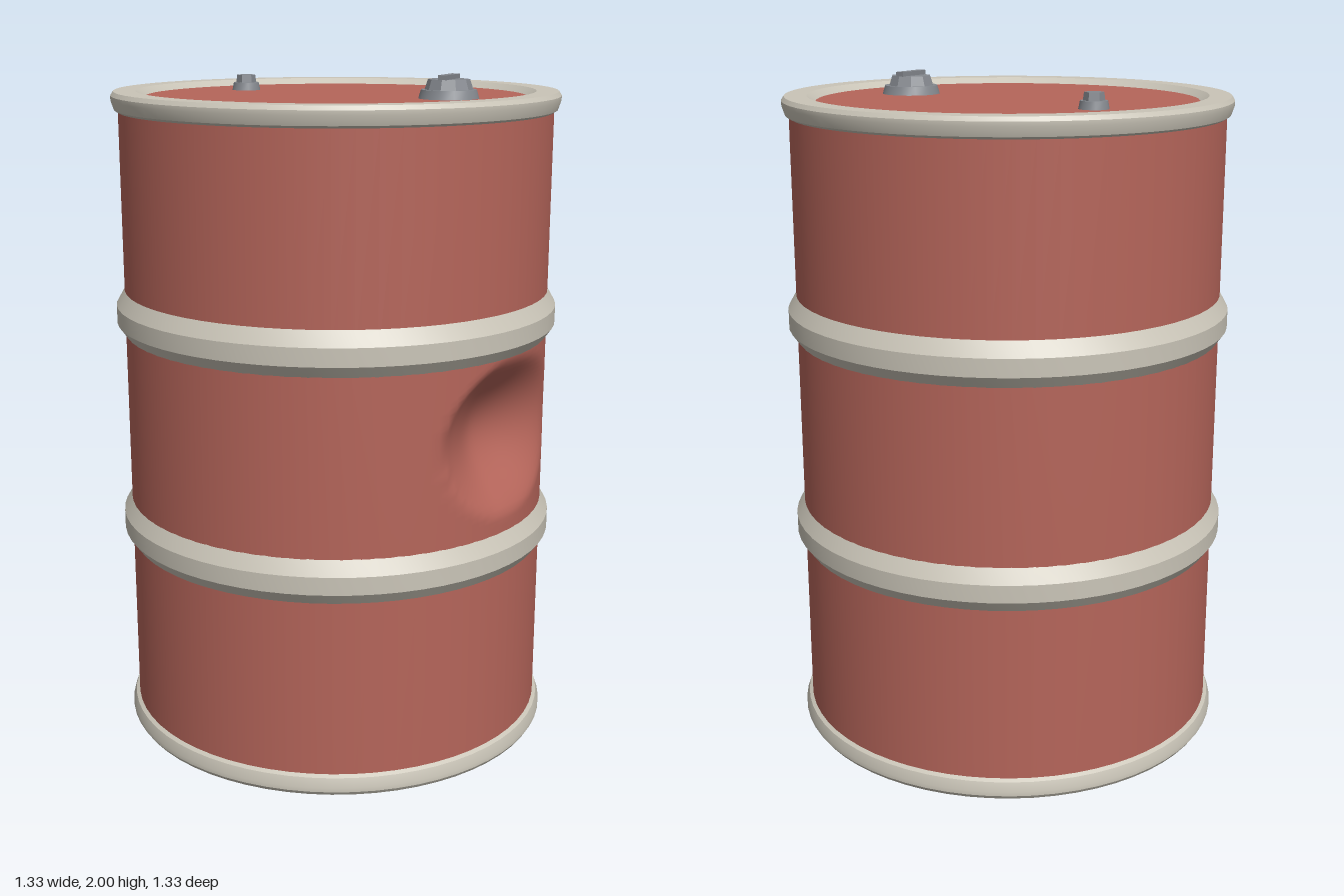
import * as THREE from 'three';
import { toCreasedNormals } from 'three/addons/utils/BufferGeometryUtils.js';

const SEG = 64;
const R = 0.64;

function material(name, color) {
  const m = new THREE.MeshStandardMaterial({ color });
  m.name = name;
  return m;
}

export function createModel() {
  const red = material('red paint', 0xb5655a);
  const cream = material('cream paint', 0xcac5b8);
  const grey = material('grey metal', 0x85898f);
  const barrel = new THREE.Group();
  barrel.name = 'barrel';

  function add(name, geometry, mat, x = 0, y = 0, z = 0, parent = barrel) {
    const mesh = new THREE.Mesh(geometry, mat);
    mesh.name = name;
    mesh.position.set(x, y, z);
    parent.add(mesh);
    return mesh;
  }

  // Turned part: round and smooth, with crisp edges between its bands
  function turned(points) {
    const profile = points.map(([r, y]) => new THREE.Vector2(r, y));
    return toCreasedNormals(new THREE.LatheGeometry(profile, SEG), 0.35);
  }

  function wall(y0, y1) {
    const g = new THREE.CylinderGeometry(R, R, y1 - y0, SEG, 1, true);
    return g.translate(0, (y0 + y1) / 2, 0);
  }

  // Middle wall with a dent pushed in on the left side
  function dentedWall(y0, y1) {
    const g = new THREE.CylinderGeometry(R, R, y1 - y0, 144, 40, true, -Math.PI / 2);
    g.translate(0, (y0 + y1) / 2, 0);
    const p = g.attributes.position;
    for (let i = 0; i < p.count; i++) {
      const x = p.getX(i), y = p.getY(i), z = p.getZ(i);
      if (x < 0) continue;
      const front = z > 0.17;
      const dz = (z - 0.17) / (front ? 0.23 : 0.36);
      const dy = (y - 1.0) / 0.235;
      const f = Math.max(0, 1 - dz * dz - dy * dy);
      // Sharp fold towards the front, soft fade towards the back
      const push = 0.13 * Math.pow(f, front ? 1.5 - 0.6 * dz : 1.5);
      const k = (R - push) / R;
      p.setXYZ(i, x * k, y, z * k);
    }
    g.computeVertexNormals();
    return g;
  }

  // Drum walls
  add('lowerWall', wall(0.04, 0.66), red);
  add('middleWall', dentedWall(0.66, 1.3), red);
  add('upperWall', wall(1.3, 1.91), red);

  // Raised hoops
  for (const [name, y] of [['lowerHoop', 0.655], ['upperHoop', 1.303]]) {
    add(name, turned([
      [R - 0.002, -0.07], [0.665, -0.033], [0.665, 0.02], [R - 0.002, 0.067],
    ]), cream, 0, y);
  }

  // Rolled rims, the bottom one a mirror of the top one
  const rim = [
    [R - 0.002, 1.89], [0.651, 1.898], [0.66, 1.925], [0.66, 1.938],
    [0.652, 1.95], [0.587, 1.95], [0.56, 1.932],
  ];
  add('topRim', turned(rim), cream);
  add('bottomRim', turned(rim.map(([r, y]) => [r, 1.95 - y]).reverse()), cream);

  // Lid and base
  add('lid', new THREE.CircleGeometry(0.563, SEG).rotateX(-Math.PI / 2), red, 0, 1.933, 0);
  add('base', new THREE.CircleGeometry(0.563, SEG).rotateX(Math.PI / 2), red, 0, 0.017, 0);

  // Solid round or many-sided piece with crisp edges, standing on y
  function disc(rTop, rBottom, h, sides, y) {
    const g = new THREE.CylinderGeometry(rTop, rBottom, h, sides);
    return toCreasedNormals(g.translate(0, y + h / 2, 0), 0.4);
  }

  // Large bung with a grip bar
  const bung = new THREE.Group();
  bung.name = 'largeBung';
  bung.position.set(0.352, 0, 0);
  barrel.add(bung);
  add('flange', disc(0.08, 0.088, 0.027, 24, 1.931), grey, 0, 0, 0, bung);
  add('cap', disc(0.06, 0.07, 0.03, 10, 1.957), grey, 0, 0, 0, bung);
  add('gripBar', new THREE.BoxGeometry(0.026, 0.014, 0.115), grey, 0, 1.993, 0, bung);

  // Small vent plug with a hexagonal head
  const plug = new THREE.Group();
  plug.name = 'ventPlug';
  plug.position.set(-0.354, 0, -0.113);
  barrel.add(plug);
  add('washer', disc(0.039, 0.044, 0.025, 20, 1.931), grey, 0, 0, 0, plug);
  add('hexHead', disc(0.028, 0.031, 0.024, 6, 1.955), grey, 0, 0, 0, plug);

  return barrel;
}
